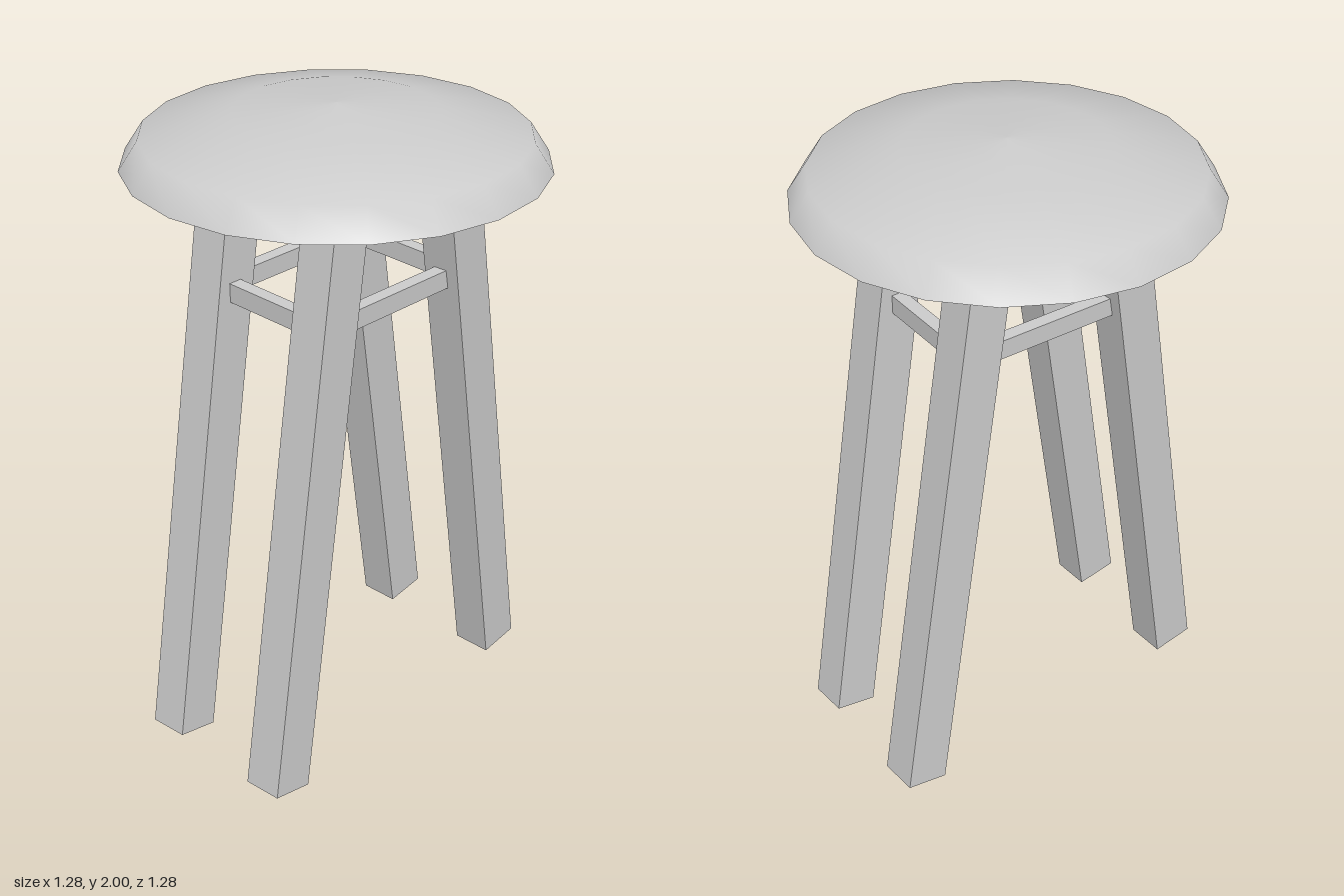
import * as THREE from 'three';

const material = new THREE.MeshStandardMaterial({ color: 0xcccccc });
const V = (x, y, z) => new THREE.Vector3(x, y, z);

// Square bar running from a to b, its sides turned by yaw about its length
function bar(name, a, b, width, depth, side) {
  const along = b.clone().sub(a);
  const mesh = new THREE.Mesh(new THREE.BoxGeometry(width, along.length(), depth), material);
  const y = along.normalize();
  const x = side.clone().addScaledVector(y, -side.dot(y)).normalize();
  const z = x.clone().cross(y);
  mesh.quaternion.setFromRotationMatrix(new THREE.Matrix4().makeBasis(x, y, z));
  mesh.position.copy(a).add(b).multiplyScalar(0.5);
  mesh.name = name;
  return mesh;
}

export function createModel() {
  const group = new THREE.Group();
  group.name = 'stool';

  // Domed seat with a flat underside
  const seat = new THREE.Group();
  seat.name = 'seat';
  const profile = [[0.64, 1.82], [0.582, 1.91], [0.31, 1.975], [0, 2]];
  const dome = new THREE.Mesh(
    new THREE.LatheGeometry(profile.map(([r, y]) => new THREE.Vector2(r, y)), 20), material);
  dome.name = 'seatCushion';
  const underside = new THREE.Mesh(new THREE.CircleGeometry(0.64, 20).rotateX(Math.PI / 2), material);
  underside.position.y = 1.82;
  underside.name = 'seatUnderside';
  seat.add(dome, underside);
  group.add(seat);

  // Splayed legs, slightly twisted, in order around the seat
  const yaw = 0.05;
  const legSide = V(Math.cos(yaw), 0, -Math.sin(yaw));
  const legs = [
    ['frontRightLeg', V(-0.135, 0.0125, 0.552), V(-0.191, 1.86, 0.236)],
    ['frontLeftLeg', V(0.31, 0.0125, 0.552), V(0.252, 1.86, 0.236)],
    ['backLeftLeg', V(0.195, 0.0125, -0.522), V(0.252, 1.86, -0.206)],
    ['backRightLeg', V(-0.25, 0.0125, -0.522), V(-0.192, 1.86, -0.206)],
  ];
  for (const [name, foot, top] of legs) group.add(bar(name, foot, top, 0.128, 0.138, legSide));

  // Rungs joining neighbouring legs under the seat
  const rungHeight = 1.46;
  const joints = legs.map(([, foot, top]) =>
    foot.clone().lerp(top, (rungHeight - foot.y) / (top.y - foot.y)));
  ['frontRung', 'leftRung', 'backRung', 'rightRung'].forEach((name, i) =>
    group.add(bar(name, joints[i], joints[(i + 1) % 4], 0.06, 0.045, V(0, 1, 0))));

  return group;
}
